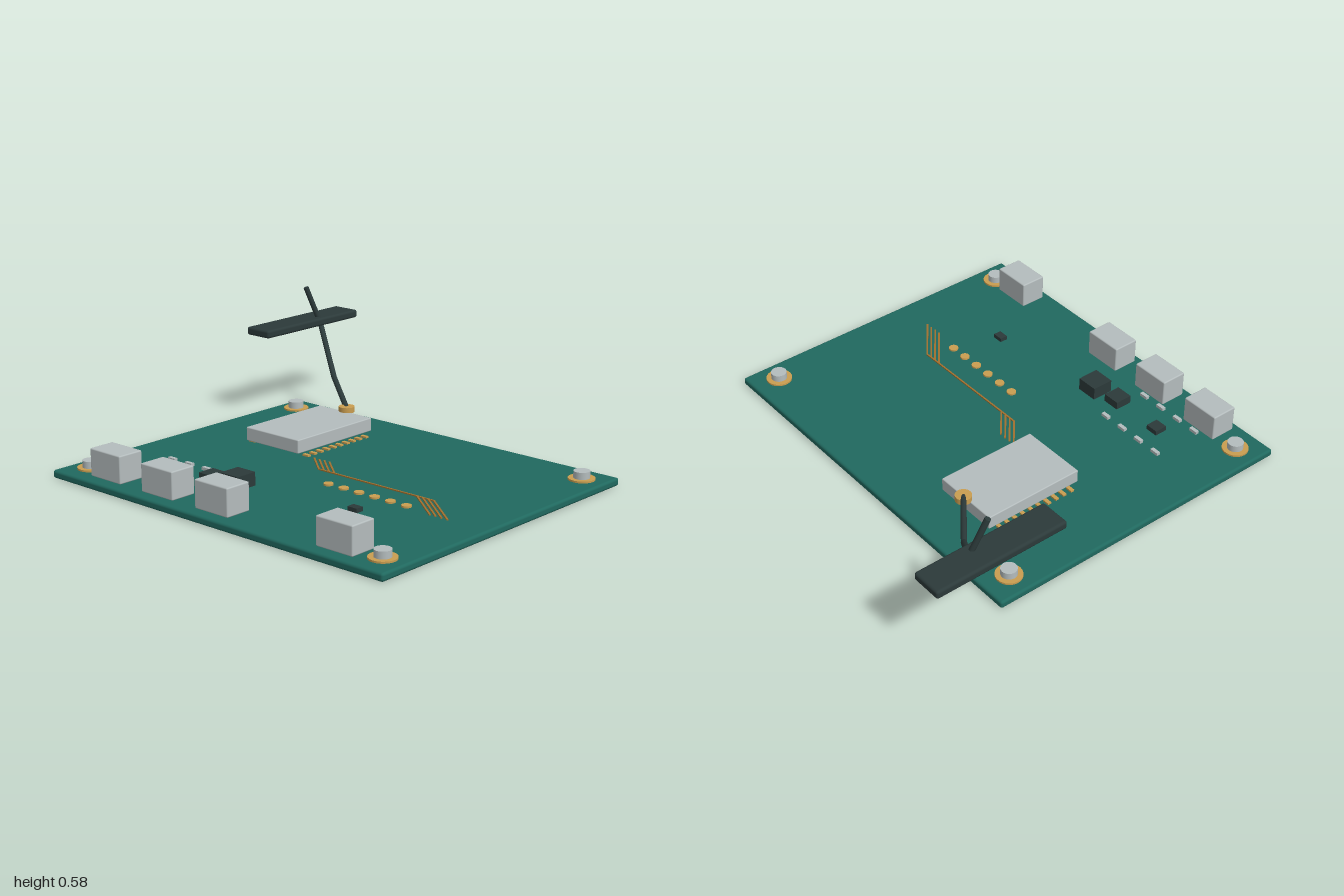
import * as THREE from 'three';
import { RoundedBoxGeometry } from 'three/addons/geometries/RoundedBoxGeometry.js';

function mat(name, color) {
  const m = new THREE.MeshStandardMaterial({ color });
  m.name = name;
  return m;
}

export function createModel() {
  const green = mat('board green', 0x20695f);
  const gold = mat('gold', 0xc99d50);
  const copper = mat('copper', 0xa0702f);
  const metal = mat('light metal', 0xb4bcbd);
  const dark = mat('dark plastic', 0x2c3a3a);

  const model = new THREE.Group();
  model.name = 'circuitBoard';
  const add = (name, geometry, material, x, y, z, parent = model) => {
    const mesh = new THREE.Mesh(geometry, material);
    mesh.name = name;
    mesh.position.set(x, y, z);
    parent.add(mesh);
    return mesh;
  };
  // Box given by its limits, with an optional edge radius
  const block = (name, material, x0, x1, y0, y1, z0, z1, r = 0) => {
    const s = [x1 - x0, y1 - y0, z1 - z0];
    const g = r ? new RoundedBoxGeometry(...s, 2, r) : new THREE.BoxGeometry(...s);
    return add(name, g, material, (x0 + x1) / 2, (y0 + y1) / 2, (z0 + z1) / 2);
  };

  // Main board
  const top = 0.036;
  block('board', green, -0.885, 0.997, 0, top, -0.57, 0.965, 0.012);

  // Screws on gold rings at the corners
  for (const x of [-0.778, 0.89]) for (const z of [-0.444, 0.84]) {
    const mount = new THREE.Group();
    mount.name = 'mount';
    mount.position.set(x, 0, z);
    model.add(mount);
    add('mountRing', new THREE.CylinderGeometry(0.059, 0.059, 0.009, 32), gold, 0, top + 0.0035, 0, mount);
    add('screwHead', new THREE.CylinderGeometry(0.036, 0.036, 0.034, 24), metal, 0, 0.058, 0, mount);
  }

  // Shielded radio module with edge pads
  block('shield', metal, -0.532, -0.211, 0.055, 0.118, -0.348, 0.139, 0.005);
  for (let i = 0; i < 10; i++) for (const x of [-0.537, -0.205]) {
    add('modulePad', new THREE.BoxGeometry(0.034, 0.008, 0.018), gold, x, 0.041, -0.294 + i * 0.0428);
  }

  // Ports along the front edge
  for (const x of [-0.587, -0.267, 0.053, 0.717]) {
    block('port', metal, x - 0.094, x + 0.094, 0.042, 0.166, 0.797, 0.922, 0.006);
  }

  // Chips: x, z, side in x, side in z, top
  for (const [x, z, w, d, h] of [
    [-0.48, 0.645, 0.06, 0.06, 0.075],
    [-0.224, 0.645, 0.082, 0.082, 0.09],
    [-0.096, 0.623, 0.102, 0.102, 0.112],
    [0.481, 0.538, 0.05, 0.037, 0.071],
  ]) block('chip', dark, x - w / 2, x + w / 2, 0.052, h, z - d / 2, z + d / 2);

  // Small surface parts
  for (let i = 0; i < 4; i++) for (const z of [0.54, 0.775]) {
    add('resistor', new THREE.BoxGeometry(0.042, 0.014, 0.018), metal, -0.586 + i * 0.107, 0.048, z);
  }

  // Row of header contacts
  for (let i = 0; i < 6; i++) {
    add('contact', new THREE.CylinderGeometry(0.022, 0.022, 0.008, 20), gold, 0.142 + i * 0.0856, 0.04, 0.326);
  }

  // Copper traces that share a middle run
  const trace = (x0, z0, x1, z1) => {
    const len = Math.hypot(x1 - x0, z1 - z0);
    const m = add('trace', new THREE.BoxGeometry(len, 0.006, 0.008), copper, (x0 + x1) / 2, 0.038, (z0 + z1) / 2);
    m.rotation.y = -Math.atan2(z1 - z0, x1 - x0);
  };
  for (let i = 0; i < 4; i++) {
    const o = i * 0.03;
    trace(-0.155 + o, 0.095, -0.03 + o, 0.2);
    trace(0.52 + o, 0.2, 0.71 + o, 0.347);
  }
  trace(-0.03, 0.2, 0.61, 0.2);

  // Antenna: connector, bent cable and flat plate
  add('antennaConnector', new THREE.CylinderGeometry(0.037, 0.037, 0.026, 24), gold, -0.372, 0.128, -0.358);
  const path = new THREE.CurvePath();
  const pts = [[-0.372, 0.13, -0.358], [-0.645, 0.192, -0.57], [-0.888, 0.39, -0.738], [-0.926, 0.575, -0.676]]
    .map((p) => new THREE.Vector3(...p));
  const rod = 0.013;
  for (let i = 0; i < 3; i++) {
    path.add(new THREE.LineCurve3(pts[i], pts[i + 1]));
    const dir = pts[i + 1].clone().sub(pts[i]);
    const mid = pts[i].clone().add(pts[i + 1]).multiplyScalar(0.5);
    const m = add('antennaCable', new THREE.CylinderGeometry(rod, rod, dir.length(), 14), dark, mid.x, mid.y, mid.z);
    m.quaternion.setFromUnitVectors(new THREE.Vector3(0, 1, 0), dir.normalize());
    if (i) add('cableBend', new THREE.SphereGeometry(rod, 14, 10), dark, ...pts[i].toArray());
  }
  block('antennaPlate', dark, -1, -0.855, 0.386, 0.425, -0.975, -0.337, 0.012);

  return model;
}
